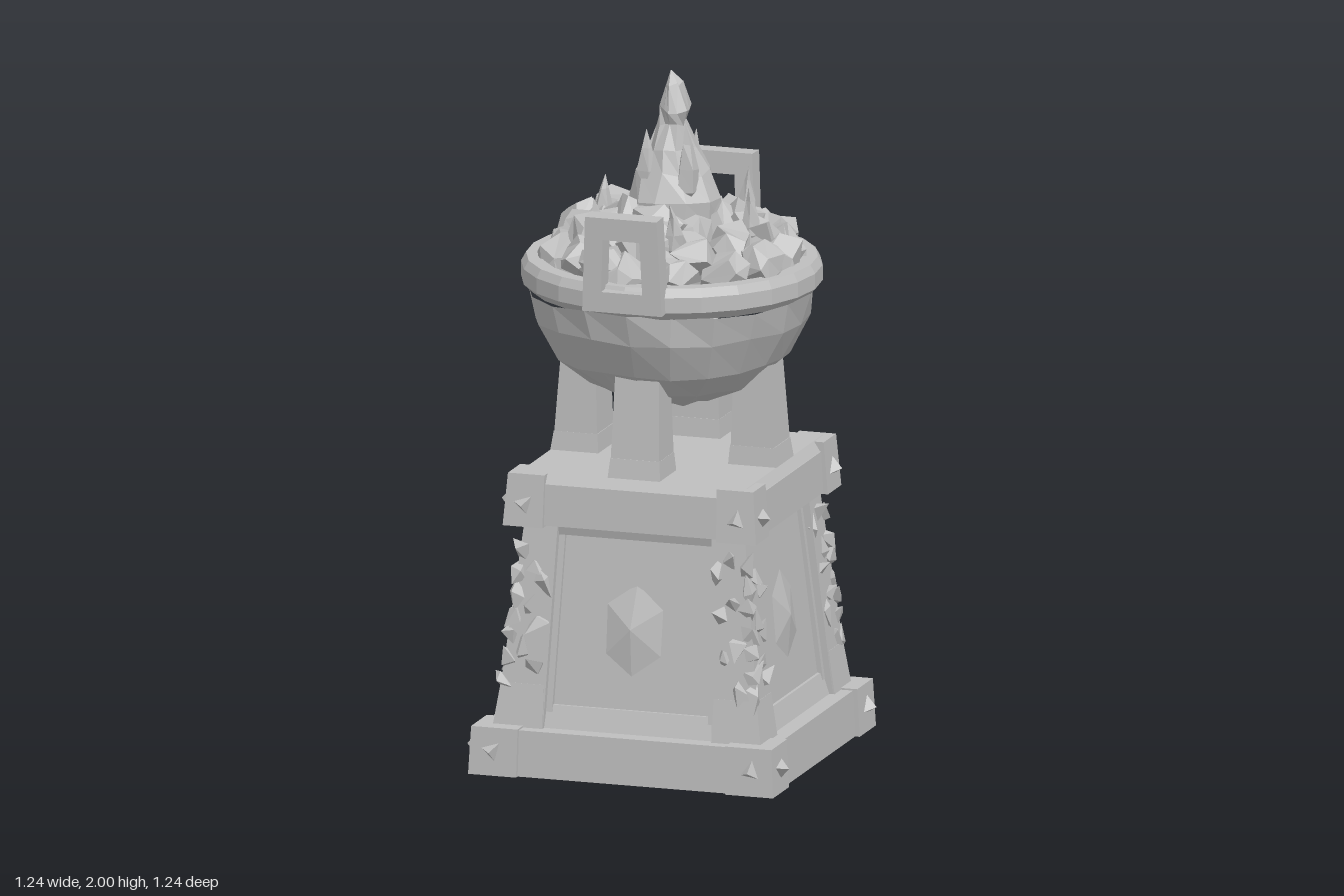
import * as THREE from 'three';

const stone = new THREE.MeshStandardMaterial({ color: 0xbebebe });
stone.name = 'stone grey';

// Small seeded random source
let seed = 7;
const rnd = () => {
  seed = (seed * 16807) % 2147483647;
  return seed / 2147483647;
};
const spread = (a) => (rnd() * 2 - 1) * a;

// Faceted mesh
function facet(name, geo) {
  const g = geo.index ? geo.toNonIndexed() : geo;
  g.computeVertexNormals();
  const m = new THREE.Mesh(g, stone);
  m.name = name;
  return m;
}

// Move vertices that share a position by the same random offset
function jitter(geo, amount) {
  const p = geo.attributes.position, moved = new Map();
  for (let i = 0; i < p.count; i++) {
    const key = [p.getX(i), p.getY(i), p.getZ(i)].map((v) => Math.round(v * 1e4)).join();
    if (!moved.has(key)) moved.set(key, [spread(amount), spread(amount), spread(amount)]);
    const o = moved.get(key);
    p.setXYZ(i, p.getX(i) + o[0], p.getY(i) + o[1], p.getZ(i) + o[2]);
  }
  return geo;
}

// Block with bottom rectangle [x0, x1, z0, z1] at y0 and top rectangle at y1
function block(name, y0, y1, low, high = low) {
  const g = new THREE.BoxGeometry(1, 1, 1), p = g.attributes.position;
  for (let i = 0; i < p.count; i++) {
    const up = p.getY(i) > 0, r = up ? high : low;
    p.setXYZ(i, p.getX(i) < 0 ? r[0] : r[1], up ? y1 : y0, p.getZ(i) < 0 ? r[2] : r[3]);
  }
  return facet(name, g);
}
const square = (h) => [-h, h, -h, h];
const corner = (h, s) => [h - s, h, h - s, h];

// Low triangular stud on the front face
function stud(x, y, z) {
  const m = facet('stud', new THREE.ConeGeometry(0.038, 0.035, 3));
  m.geometry.rotateY(x < 0 ? 0.3 : 0.9);
  m.rotation.x = Math.PI / 2;
  m.position.set(x, y, z + 0.012);
  return m;
}

// Everything that repeats on each of the four sides
function pedestalSide() {
  const g = new THREE.Group();
  g.name = 'pedestalSide';
  g.add(block('baseCorner', 0, 0.14, corner(0.46, 0.145), corner(0.453, 0.14)));
  g.add(block('capCorner', 0.72, 0.873, corner(0.382, 0.12), corner(0.37, 0.11)));
  g.add(block('cornerPost', 0.13, 0.73, corner(0.4, 0.145), corner(0.332, 0.1)));
  g.add(block('postFoot', 0.13, 0.26, corner(0.405, 0.15), corner(0.386, 0.13)));
  // Panel frame
  g.add(block('lowerTrim', 0.13, 0.2, [-0.28, 0.28, 0.3, 0.39], [-0.28, 0.28, 0.3, 0.368]));
  g.add(block('upperTrim', 0.69, 0.73, [-0.25, 0.25, 0.25, 0.318], [-0.25, 0.25, 0.25, 0.33]));
  for (const s of [-1, 1]) {
    const a = [s * 0.235, s * 0.27], b = [s * 0.215, s * 0.25];
    const order = (v) => [Math.min(...v), Math.max(...v)];
    g.add(block('sideTrim', 0.18, 0.71, [...order(a), 0.3, 0.376], [...order(b), 0.25, 0.312]));
    g.add(stud(s * 0.39, 0.072, 0.456), stud(s * 0.32, 0.785, 0.376));
  }
  // Shallow cut gem on the panel
  const gem = facet('panelGem', jitter(new THREE.ConeGeometry(0.115, 0.02, 6), 0.006));
  gem.scale.set(0.85, 1, 1.15);
  gem.rotation.x = Math.PI / 2 - 0.12;
  gem.position.set(0, 0.43, 0.345);
  g.add(gem);
  // Crumbled leaves climbing the corner post
  for (let i = 0; i < 20; i++) {
    const y = 0.27 + 0.39 * (i / 19), edge = 0.4 - (y - 0.13) * 0.113;
    const leaf = facet('cornerLeaf', jitter(new THREE.OctahedronGeometry(0.036, 0), 0.012));
    const along = (i % 3) * 0.042;
    leaf.scale.set(0.75, 1.25, 0.75);
    leaf.rotation.set(spread(0.6), spread(1.5), spread(0.9));
    leaf.position.set(edge - (i % 2 ? along : 0) - 0.006, y, edge - (i % 2 ? 0 : along) - 0.006);
    g.add(leaf);
  }
  // Bowl leg with a foot
  g.add(block('leg', 0.87, 1.2, [-0.075, 0.075, 0.2, 0.335], [-0.065, 0.065, 0.21, 0.31]));
  g.add(block('legFoot', 0.865, 0.93, [-0.08, 0.08, 0.195, 0.342], [-0.074, 0.074, 0.2, 0.332]));
  return g;
}

function handle() {
  const s = new THREE.Shape();
  [[-0.12, 0], [0.12, 0], [0.108, 0.28], [-0.108, 0.28]].forEach(([x, y], i) => i ? s.lineTo(x, y) : s.moveTo(x, y));
  const hole = new THREE.Path();
  [[-0.062, 0.06], [-0.055, 0.215], [0.055, 0.215], [0.062, 0.06]].forEach(([x, y], i) => i ? hole.lineTo(x, y) : hole.moveTo(x, y));
  s.holes.push(hole);
  const m = facet('handle', new THREE.ExtrudeGeometry(s, { depth: 0.062, bevelEnabled: false }));
  m.position.set(0, 1.39, 0.385);
  m.rotation.x = 0.04;
  return m;
}

// Pointed flame tongue with a slight sway
function flame(name, profile, sides, sway) {
  const g = new THREE.LatheGeometry(profile.map(([r, y]) => new THREE.Vector2(r, y)), sides);
  const p = g.attributes.position, h = profile[profile.length - 1][1];
  jitter(g, h * 0.02);
  for (let i = 0; i < p.count; i++) {
    p.setX(i, p.getX(i) + sway * Math.sin((p.getY(i) / h) * Math.PI));
  }
  return facet(name, g);
}

export function createModel() {
  const model = new THREE.Group();
  model.name = 'brazier';

  // Pedestal cores
  model.add(block('base', 0, 0.135, square(0.446), square(0.44)));
  model.add(block('body', 0.13, 0.73, square(0.367), square(0.298)));
  model.add(block('cap', 0.725, 0.845, square(0.368), square(0.362)));
  model.add(block('capTop', 0.84, 0.875, square(0.362), square(0.34)));
  for (let i = 0; i < 4; i++) {
    const side = pedestalSide();
    side.rotation.y = (i * Math.PI) / 2;
    model.add(side);
  }

  // Bowl
  const bowl = [[0, 1.03], [0.12, 1.045], [0.24, 1.095], [0.335, 1.175], [0.395, 1.28], [0.412, 1.37]];
  const rim = [[0.405, 1.365], [0.432, 1.39], [0.432, 1.435], [0.418, 1.46], [0.375, 1.46], [0.355, 1.42], [0, 1.43]];
  const lathe = (pts, n) => new THREE.LatheGeometry(pts.map(([r, y]) => new THREE.Vector2(r, y)), n);
  model.add(facet('bowl', jitter(lathe(bowl, 20), 0.008)));
  model.add(facet('bowlRim', lathe(rim, 24)));
  for (const turn of [0, Math.PI]) {
    const g = new THREE.Group();
    g.name = 'handleSide';
    g.rotation.y = turn;
    g.add(handle());
    model.add(g);
  }

  // Heaped coals: count, ring radius, height, size
  for (const [n, r, y, size] of [[17, 0.315, 1.47, 0.075], [12, 0.225, 1.52, 0.08], [8, 0.13, 1.55, 0.075]]) {
    for (let i = 0; i < n; i++) {
      const a = (i / n) * Math.PI * 2 + spread(0.1);
      const coal = facet('coal', jitter(new THREE.DodecahedronGeometry(size, 0), size * 0.2));
      coal.scale.set(1 + spread(0.2), 0.95 + spread(0.2), 1 + spread(0.2));
      coal.rotation.set(spread(3), spread(3), spread(3));
      coal.position.set(Math.sin(a) * (r + spread(0.02)), y + spread(0.02), Math.cos(a) * (r + spread(0.02)));
      model.add(coal);
    }
  }

  // Main flame
  const main = flame('mainFlame', [[0, 0], [0.1, 0.02], [0.14, 0.1], [0.135, 0.17], [0.105, 0.25],
    [0.07, 0.32], [0.04, 0.39], [0.046, 0.43], [0.022, 0.5], [0, 0.55]], 11, 0);
  main.position.set(0, 1.45, -0.01);
  main.geometry.computeBoundingBox();
  main.position.y = 2 - main.geometry.boundingBox.max.y;
  model.add(main);

  // Tongues around the main flame and between the coals: angle, radius, base, height, width
  const tongues = [[0.75, 0.09, 1.62, 0.24, 0.035], [2.4, 0.08, 1.62, 0.2, 0.035], [4.0, 0.08, 1.6, 0.23, 0.035],
    [5.4, 0.08, 1.62, 0.22, 0.035], [0.3, 0.25, 1.5, 0.17, 0.03], [1.5, 0.24, 1.5, 0.18, 0.03],
    [2.5, 0.27, 1.5, 0.18, 0.03], [3.5, 0.24, 1.5, 0.15, 0.03], [4.5, 0.22, 1.5, 0.17, 0.03], [5.6, 0.26, 1.5, 0.16, 0.03]];
  for (const [a, r, y, h, w] of tongues) {
    const t = flame('flameTongue', [[0, 0], [w, h * 0.2], [w * 0.85, h * 0.45], [w * 0.4, h * 0.75], [0, h]], 5, 0.012);
    t.position.set(Math.sin(a) * r, y, Math.cos(a) * r);
    t.rotation.y = a;
    model.add(t);
  }

  // The whole piece stands turned on its spot
  const root = new THREE.Group();
  root.name = 'flamingBrazier';
  model.rotation.y = -28 * Math.PI / 180;
  root.add(model);
  return root;
}
